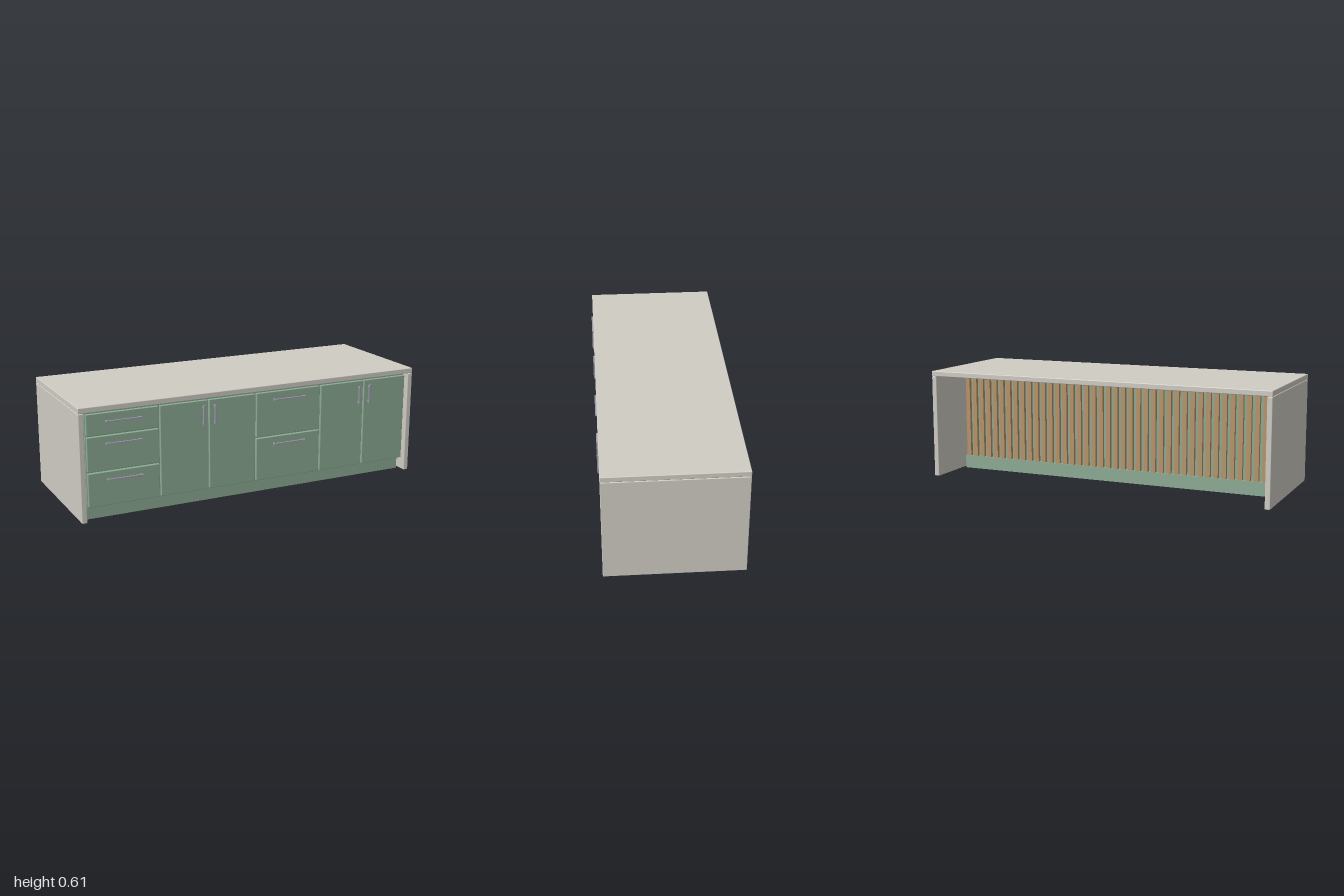
import * as THREE from 'three';
import { RoundedBoxGeometry } from 'three/addons/geometries/RoundedBoxGeometry.js';

const mat = (name, color) => {
  const m = new THREE.MeshStandardMaterial({ color });
  m.name = name;
  return m;
};

export function createModel() {
  const stone = mat('warm grey stone', 0xd0ccc4);
  const green = mat('sage green', 0x8cac95);
  const wood = mat('slat wood', 0xb8946a);
  const metal = mat('handle metal', 0x9a9aa8);

  const model = new THREE.Group();
  model.name = 'kitchenIsland';

  // Box given by its min and max corners, optionally with rounded edges
  const box = (name, material, [x0, x1], [y0, y1], [z0, z1], radius = 0, parent = model) => {
    const size = [x1 - x0, y1 - y0, z1 - z0];
    const geometry = radius
      ? new RoundedBoxGeometry(...size, 2, radius)
      : new THREE.BoxGeometry(...size);
    const mesh = new THREE.Mesh(geometry, material);
    mesh.name = name;
    mesh.position.set((x0 + x1) / 2, (y0 + y1) / 2, (z0 + z1) / 2);
    parent.add(mesh);
    return mesh;
  };

  // Worktop and the two end panels
  const depth = [-0.37, 0.362];
  box('worktop', stone, [-1, 1], [0.583, 0.613], depth, 0.004);
  box('rightEndPanel', stone, [-1, -0.971], [0.002, 0.582], depth, 0.004);
  box('leftEndPanel', stone, [0.971, 1], [0.002, 0.582], depth, 0.004);

  // Cabinet body on a recessed plinth
  box('plinth', green, [-0.958, 0.958], [0, 0.075], [-0.093, 0.305]);
  box('carcass', green, [-0.958, 0.958], [0.075, 0.583], [-0.072, 0.33]);

  // Bar handle standing on two short posts
  const handle = (x, y, vertical) => {
    const group = new THREE.Group();
    group.name = vertical ? 'doorHandle' : 'drawerHandle';
    const half = vertical ? 0.053 : 0.1;
    const t = 0.005;
    box('bar', metal, [-half, half], [-t, t], [0.36, 0.37], 0, group);
    for (const s of [-1, 1]) {
      const c = s * (half - 0.01);
      box('post', metal, [c - t, c + t], [-t, t], [0.348, 0.36], 0, group);
    }
    group.position.set(x, y, 0);
    if (vertical) group.rotation.z = Math.PI / 2;
    model.add(group);
  };

  // Door and drawer fronts, separated by narrow gaps
  const gap = 0.004;
  const front = (name, x0, x1, y0, y1) =>
    box(name, green, [x0 + gap, x1 - gap], [y0 + gap, y1 - gap], [0.33, 0.35], 0.003);

  const drawerStacks = [
    { x: -0.96, levels: [0.075, 0.263, 0.454, 0.575], handles: [0.218, 0.41, 0.527] },
    { x: 0, levels: [0.075, 0.322, 0.575], handles: [0.278, 0.527] },
  ];
  for (const { x, levels, handles } of drawerStacks) {
    handles.forEach((y, i) => {
      front('drawerFront', x, x + 0.4, levels[i], levels[i + 1]);
      handle(x + 0.2, y, false);
    });
  }

  // Pairs of doors meeting at their handles
  for (const middle of [-0.28, 0.68]) {
    for (const side of [-1, 1]) {
      const outer = middle + side * 0.28;
      front('door', Math.min(middle, outer), Math.max(middle, outer), 0.075, 0.575);
      handle(middle + side * 0.033, 0.493, true);
    }
  }

  // Vertical slats along the back
  const count = 42;
  const pitch = 1.916 / count;
  for (let i = 0; i < count; i++) {
    const x = -0.958 + (i + 0.5) * pitch;
    box('backSlat', wood, [x - 0.013, x + 0.013], [0.075, 0.583], [-0.091, -0.072]);
  }

  return model;
}
